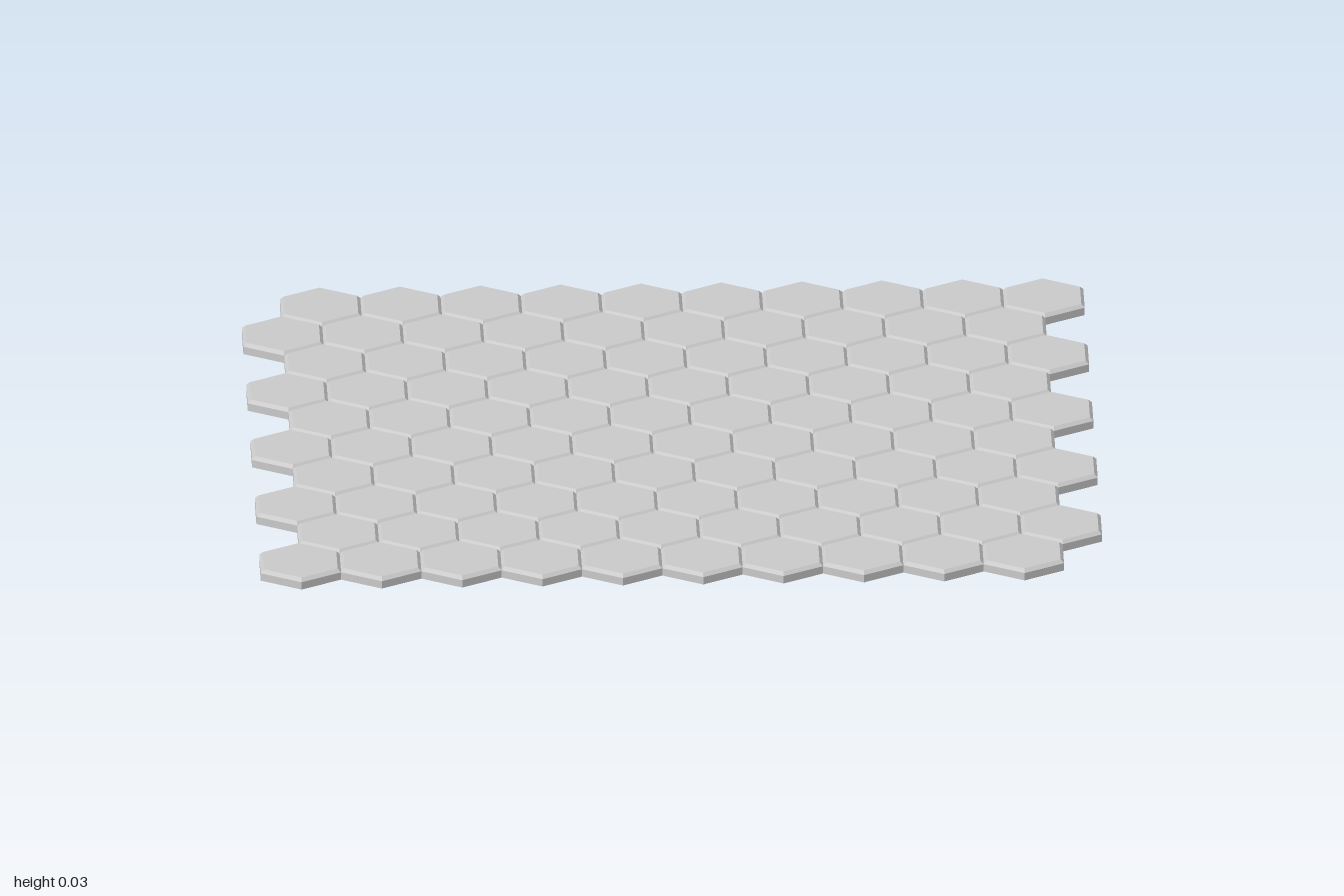
import * as THREE from 'three';

const COLS = 10, ROWS = 10;
const WIDTH = 2 / (COLS + 0.5);      // flat-to-flat width of a tile
const RADIUS = WIDTH / Math.sqrt(3); // centre to corner
const HEIGHT = 0.027, CHAMFER = 0.008;

// Six-sided tile with a chamfered top rim, corners pointing along z
function tileGeometry() {
  const profile = [
    [0, 0], [RADIUS, 0], [RADIUS, HEIGHT - CHAMFER],
    [RADIUS - CHAMFER * 1.15, HEIGHT], [0, HEIGHT],
  ].map(([r, y]) => new THREE.Vector2(r, y));
  return new THREE.LatheGeometry(profile, 6);
}

export function createModel() {
  const model = new THREE.Group();
  model.name = 'hexTileFloor';
  const material = new THREE.MeshStandardMaterial({ color: 0xcccccc, flatShading: true });
  const geometry = tileGeometry();

  // Staggered rows, the rearmost one shifted towards +x
  for (let row = 0; row < ROWS; row++) {
    const rowGroup = new THREE.Group();
    rowGroup.name = `tileRow${row + 1}`;
    const shift = (row % 2 === 0 ? 0.25 : -0.25) * WIDTH;
    rowGroup.position.set(shift, 0, (row - (ROWS - 1) / 2) * RADIUS * 1.5);
    for (let col = 0; col < COLS; col++) {
      const tile = new THREE.Mesh(geometry, material);
      tile.name = `hexTile${col + 1}`;
      tile.position.x = (col - (COLS - 1) / 2) * WIDTH;
      rowGroup.add(tile);
    }
    model.add(rowGroup);
  }
  return model;
}
